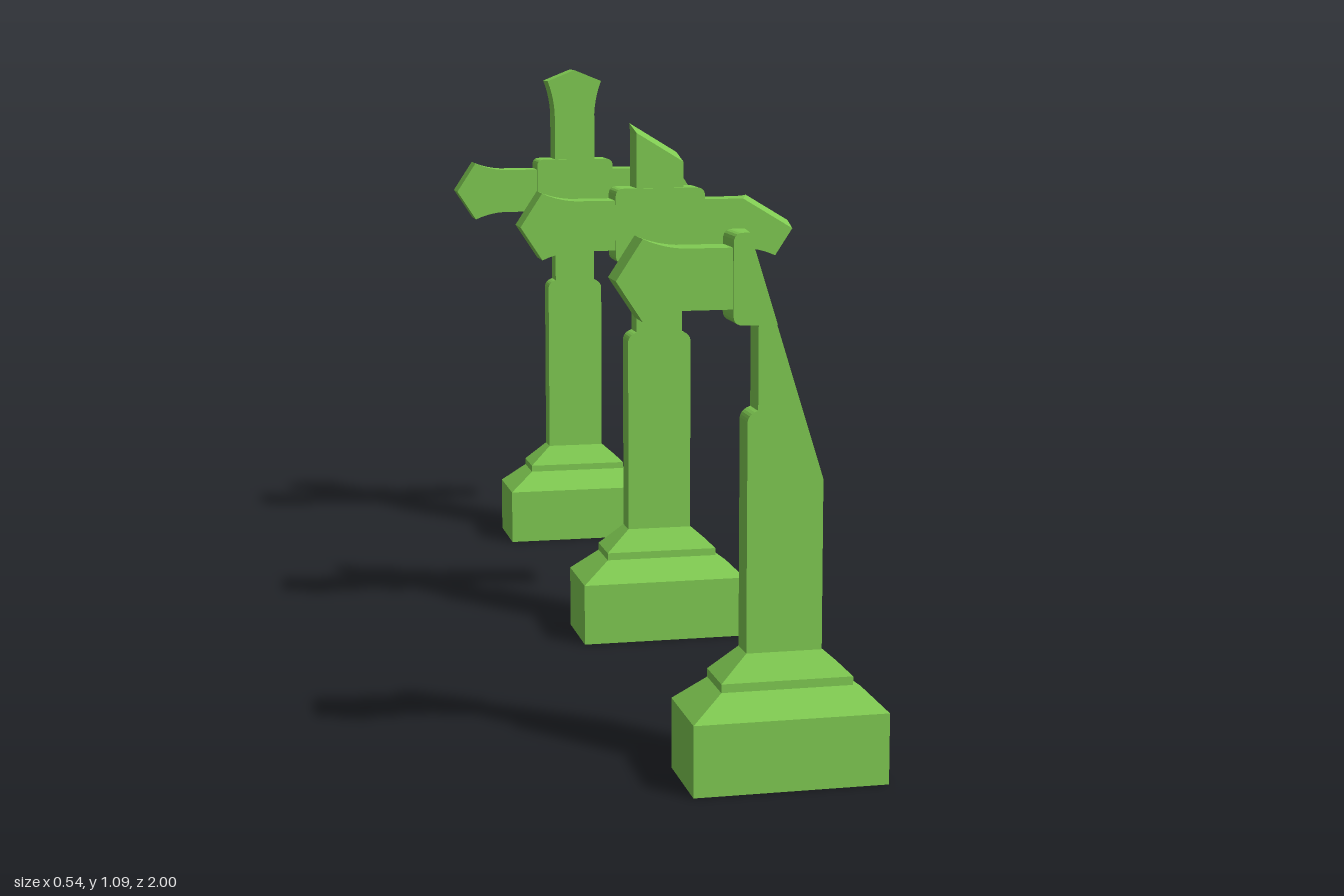
import * as THREE from 'three';

const material = new THREE.MeshStandardMaterial({ color: 0x80cb52, flatShading: true });

// Flat slab: an outline in x/y extruded symmetrically about z = 0
function slab(shape, halfDepth) {
  const g = new THREE.ExtrudeGeometry(shape, { depth: halfDepth * 2, bevelEnabled: false, curveSegments: 5 });
  return g.translate(0, 0, -halfDepth).toNonIndexed ? g.toNonIndexed() : g;
}

// Solid through rectangular sections [halfX, y, halfZ]
function loft(levels) {
  const pos = [], index = [], n = levels.length;
  for (const [x, y, z] of levels) pos.push(-x, y, z, x, y, z, x, y, -z, -x, y, -z);
  for (let l = 0; l < n - 1; l++) {
    for (let i = 0; i < 4; i++) {
      const a = l * 4 + i, b = l * 4 + (i + 1) % 4;
      index.push(a, b, b + 4, a, b + 4, a + 4);
    }
  }
  const t = (n - 1) * 4;
  index.push(0, 2, 1, 0, 3, 2, t, t + 1, t + 2, t, t + 2, t + 3);
  const g = new THREE.BufferGeometry();
  g.setAttribute('position', new THREE.Float32BufferAttribute(pos, 3));
  g.setIndex(index);
  return g.toNonIndexed();
}

// Remove everything on the positive side of a plane and cap the break
function cut(geometry, plane) {
  const p = geometry.attributes.position, out = [], rim = [];
  const add = (...pts) => pts.forEach(v => out.push(v.x, v.y, v.z));
  for (let i = 0; i < p.count; i += 3) {
    const tri = [0, 1, 2].map(k => new THREE.Vector3().fromBufferAttribute(p, i + k));
    const poly = [];
    tri.forEach((a, k) => {
      const b = tri[(k + 1) % 3];
      const da = plane.distanceToPoint(a), db = plane.distanceToPoint(b);
      if (da <= 0) poly.push(a);
      if ((da <= 0) !== (db <= 0)) {
        const m = a.clone().lerp(b, da / (da - db));
        poly.push(m);
        rim.push(m);
      }
    });
    for (let k = 1; k + 1 < poly.length; k++) add(poly[0], poly[k], poly[k + 1]);
  }
  if (rim.length > 2) {
    const c = rim.reduce((s, v) => s.add(v), new THREE.Vector3()).divideScalar(rim.length);
    const u = new THREE.Vector3(0, 0, 1).cross(plane.normal).normalize();
    const w = plane.normal.clone().cross(u);
    const angle = v => Math.atan2(v.clone().sub(c).dot(w), v.clone().sub(c).dot(u));
    rim.sort((a, b) => angle(a) - angle(b));
    rim.forEach((v, i) => add(c, v, rim[(i + 1) % rim.length]));
  }
  const g = new THREE.BufferGeometry();
  g.setAttribute('position', new THREE.Float32BufferAttribute(out, 3));
  return g;
}

// Plane through three points, its positive side facing up and to the right
function breakPlane(a, b, c) {
  const plane = new THREE.Plane().setFromCoplanarPoints(
    new THREE.Vector3(...a), new THREE.Vector3(...b), new THREE.Vector3(...c));
  return plane.normal.x < 0 ? plane.negate() : plane;
}

// Side arm with a flared, pointed end; side is +1 or -1
function armShape(side) {
  const y = 0.811, s = new THREE.Shape();
  s.moveTo(side * 0.08, y - 0.048);
  s.lineTo(side * 0.165, y - 0.048);
  s.quadraticCurveTo(side * 0.2, y - 0.05, side * 0.23, y - 0.064);
  s.lineTo(side * 0.272, y);
  s.lineTo(side * 0.23, y + 0.064);
  s.quadraticCurveTo(side * 0.2, y + 0.05, side * 0.165, y + 0.048);
  s.lineTo(side * 0.08, y + 0.048);
  return s;
}

function topShape() {
  const s = new THREE.Shape();
  s.moveTo(-0.046, 0.87);
  s.lineTo(0.046, 0.87);
  s.lineTo(0.046, 0.985);
  s.quadraticCurveTo(0.048, 1.025, 0.062, 1.06);
  s.lineTo(0, 1.085);
  s.lineTo(-0.062, 1.06);
  s.quadraticCurveTo(-0.048, 1.025, -0.046, 0.985);
  return s;
}

// Lower shaft with rounded shoulders
function shaftShape() {
  const s = new THREE.Shape();
  s.moveTo(-0.062, 0.205);
  s.lineTo(0.062, 0.205);
  s.lineTo(0.062, 0.585);
  s.quadraticCurveTo(0.06, 0.597, 0.045, 0.602);
  s.lineTo(-0.045, 0.602);
  s.quadraticCurveTo(-0.06, 0.597, -0.062, 0.585);
  return s;
}

function neckShape() {
  const s = new THREE.Shape();
  s.moveTo(-0.045, 0.602);
  s.lineTo(0.045, 0.602);
  s.lineTo(0.045, 0.745);
  s.lineTo(-0.045, 0.745);
  return s;
}

// Centre block with rounded corners
function blockShape() {
  const x = 0.088, b = 0.738, t = 0.882, r = 0.016, s = new THREE.Shape();
  s.moveTo(-x + r, b);
  s.lineTo(x - r, b);
  s.quadraticCurveTo(x, b, x, b + r);
  s.lineTo(x, t - r);
  s.quadraticCurveTo(x, t, x - r, t);
  s.lineTo(-x + r, t);
  s.quadraticCurveTo(-x, t, -x, t - r);
  s.lineTo(-x, b + r);
  s.quadraticCurveTo(-x, b, -x + r, b);
  return s;
}

// breaks maps a part name to its break plane, or to null if the part is gone
function cross(name, z, breaks = {}) {
  const group = new THREE.Group();
  group.name = name;
  group.position.z = z;
  const parts = {
    base: loft([[0.16, 0, 0.079], [0.16, 0.117, 0.079], [0.108, 0.158, 0.048],
      [0.108, 0.172, 0.048], [0.062, 0.213, 0.025]]),
    shaft: slab(shaftShape(), 0.025),
    neck: slab(neckShape(), 0.025),
    centreBlock: slab(blockShape(), 0.035),
    leftArm: slab(armShape(1), 0.031),
    rightArm: slab(armShape(-1), 0.031),
    topArm: slab(topShape(), 0.031),
  };
  for (const [part, whole] of Object.entries(parts)) {
    if (breaks[part] === null) continue;
    const g = breaks[part] ? cut(whole, breaks[part]) : whole;
    g.deleteAttribute('uv');
    g.computeVertexNormals();
    const mesh = new THREE.Mesh(g, material);
    mesh.name = part;
    group.add(mesh);
  }
  return group;
}

export function createModel() {
  const model = new THREE.Group();
  model.name = 'graveCrosses';

  // Long diagonal break from the centre block down to the shaft
  const split = breakPlane([-0.062, 0.882, 0.035], [0.062, 0.485, 0.035], [-0.053, 0.882, -0.035]);
  // Chipped top and arm
  const topChip = breakPlane([-0.046, 0.988, 0.031], [0.046, 0.932, 0.031], [-0.046, 1.003, -0.031]);
  const armChip = breakPlane([0.165, 0.859, 0.031], [0.268, 0.797, 0.031], [0.19, 0.859, -0.031]);

  model.add(
    cross('wholeCross', -0.921),
    cross('chippedCross', -0.005, { topArm: topChip, leftArm: armChip }),
    cross('brokenCross', 0.921, {
      shaft: split, neck: split, centreBlock: split, leftArm: null, topArm: null,
    }),
  );
  return model;
}
